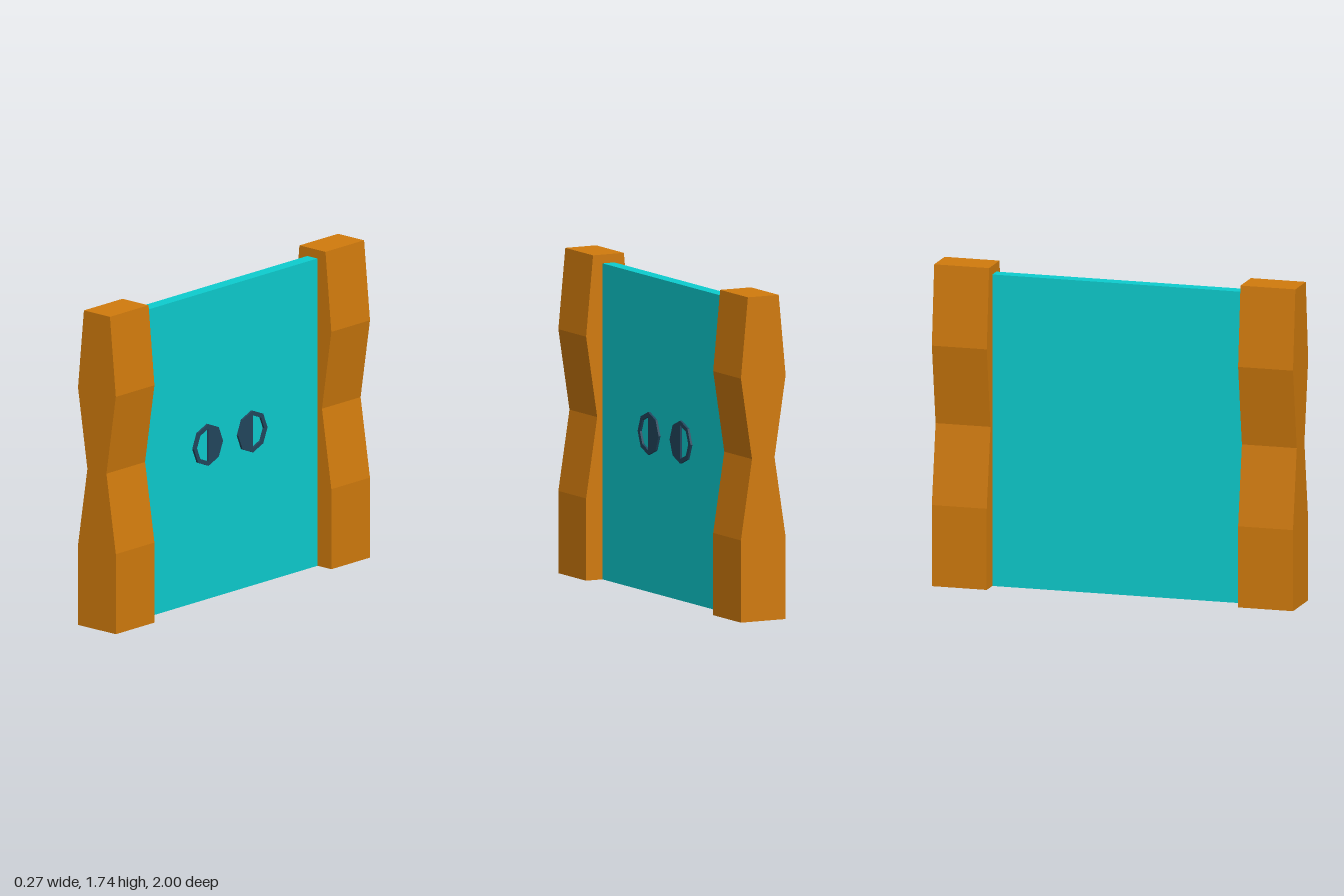
import * as THREE from 'three';

const material = (name, color) => {
  const m = new THREE.MeshStandardMaterial({ color, side: THREE.DoubleSide });
  m.name = name;
  return m;
};

// Drops the triangles lying on y = 0, leaving a shell open at the bottom
function openBottom(geometry) {
  const flat = geometry.index ? geometry.toNonIndexed() : geometry;
  const p = flat.attributes.position;
  const kept = [];
  for (let i = 0; i < p.count; i += 3) {
    const corners = [i, i + 1, i + 2];
    if (corners.every((c) => Math.abs(p.getY(c)) < 1e-5)) continue;
    for (const c of corners) kept.push(p.getX(c), p.getY(c), p.getZ(c));
  }
  const shell = new THREE.BufferGeometry();
  shell.setAttribute('position', new THREE.Float32BufferAttribute(kept, 3));
  shell.computeVertexNormals();
  return shell;
}

// Points of an octagon with a corner at the top, from one corner to another
function octagon(radius, from, to) {
  const points = [];
  for (let i = from; i <= to; i++) {
    const a = (i * Math.PI) / 4;
    points.push(new THREE.Vector2(Math.cos(a) * radius, Math.sin(a) * radius));
  }
  return points;
}

export function createModel() {
  const model = new THREE.Group();
  model.name = 'doubleDoor';
  const wood = material('orangeWood', 0xd17b0d);
  const cyan = material('cyanPanel', 0x0dcdcf);
  const iron = material('darkHandle', 0x22465e);

  const add = (name, geometry, mat, x, y, z) => {
    const mesh = new THREE.Mesh(geometry, mat);
    mesh.name = name;
    mesh.position.set(x, y, z);
    model.add(mesh);
  };

  // Waisted post outline: half width and height
  const side = [[0.135, 0], [0.135, 0.44], [0.068, 0.87], [0.135, 1.305], [0.093, 1.737]];
  const outline = [...side, ...side.map(([x, y]) => [-x, y]).reverse()];
  const postShape = new THREE.Shape(outline.map(([x, y]) => new THREE.Vector2(x, y)));
  const postGeometry = openBottom(
    new THREE.ExtrudeGeometry(postShape, { depth: 0.304, bevelEnabled: false })
  );

  // Door leaf standing on the ground
  const leafGeometry = openBottom(
    new THREE.BoxGeometry(0.072, 1.69, 0.702).translate(0, 0.845, 0)
  );

  for (const s of [1, -1]) {
    const end = s > 0 ? 'front' : 'back';
    add(end + 'Post', postGeometry, wood, 0, 0, s > 0 ? 0.696 : -1);
    add(end + 'DoorLeaf', leafGeometry, cyan, 0, 0, s * 0.351);

    // Flat handle ring, with its inner half filled
    const ring = new THREE.Shape(octagon(0.115, 0, 7));
    const first = s > 0 ? 2 : -2;
    ring.holes.push(new THREE.Path(octagon(0.09, first, first + 4)));
    const handle = new THREE.ExtrudeGeometry(ring, { depth: 0.013, bevelEnabled: false });
    handle.rotateY(Math.PI / 2);
    add(end + 'Handle', handle, iron, 0.035, 0.85, s * 0.175);
  }
  return model;
}
